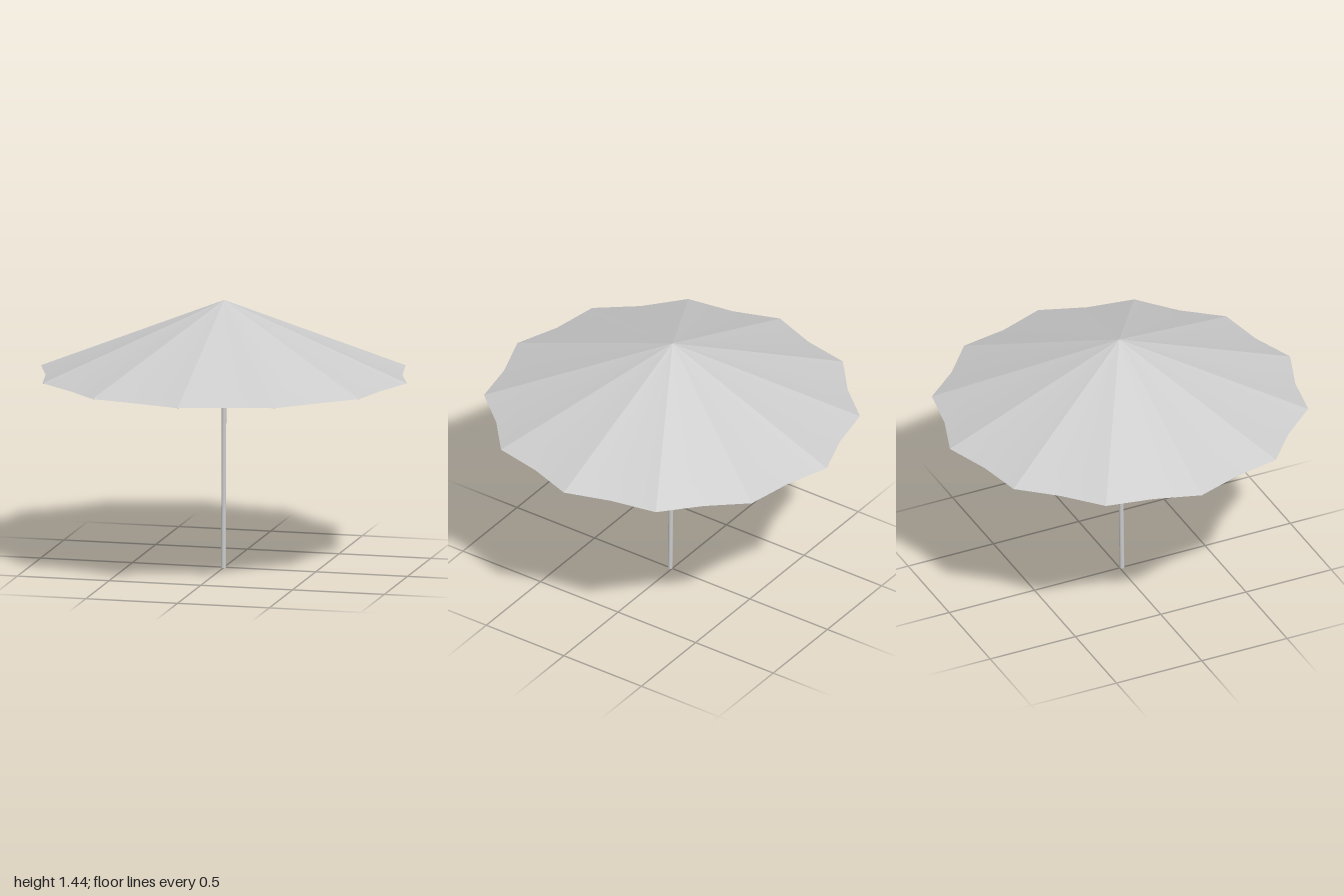
import * as THREE from 'three';

const RIBS = 12, APEX = 1.44, RIM = 1.04;
const STEP = (Math.PI * 2) / RIBS;

const material = new THREE.MeshStandardMaterial({ color: 0xcccccc });
const cloth = new THREE.MeshStandardMaterial({ color: 0xcccccc, side: THREE.DoubleSide });

// Point at angle a, radius r, height y
const polar = (a, r, y) => new THREE.Vector3(Math.sin(a) * r, y, Math.cos(a) * r);

function add(parent, name, geometry, mat = material) {
  const mesh = new THREE.Mesh(geometry, mat);
  mesh.name = name;
  parent.add(mesh);
  return mesh;
}

// Thin straight wire between two points
function rod(parent, name, a, b, radius) {
  const mesh = add(parent, name, new THREE.CylinderGeometry(radius, radius, a.distanceTo(b), 5));
  mesh.position.copy(a).lerp(b, 0.5);
  mesh.quaternion.setFromUnitVectors(new THREE.Vector3(0, 1, 0), b.clone().sub(a).normalize());
}

// One sagging cloth panel between two ribs: rib, valley, rib
function panelGeometry(start) {
  const rows = 6, pos = [], index = [];
  const rim = [
    polar(start, 0.997, RIM),
    polar(start + STEP / 2, 0.943, RIM - 0.003),
    polar(start + STEP, 0.997, RIM),
  ];
  const apex = new THREE.Vector3(0, APEX, 0);
  for (let i = 0; i <= rows; i++) {
    for (const p of rim) pos.push(...apex.clone().lerp(p, i / rows).toArray());
  }
  for (let i = 0; i < rows; i++) {
    for (let j = 0; j < 2; j++) {
      const a = i * 3 + j, b = a + 3;
      index.push(a, b, b + 1);
      if (i > 0) index.push(a, b + 1, a + 1);
    }
  }
  const g = new THREE.BufferGeometry();
  g.setAttribute('position', new THREE.Float32BufferAttribute(pos, 3));
  g.setIndex(index);
  g.computeVertexNormals();
  return g;
}

export function createModel() {
  const model = new THREE.Group();
  model.name = 'parasol';

  // The whole parasol leans back very slightly
  const parasol = new THREE.Group();
  parasol.name = 'leaningParasol';
  parasol.rotation.x = -0.011;
  parasol.position.z = 0.013;
  model.add(parasol);

  // Pole, sliding runner and top hub
  add(parasol, 'pole', new THREE.CylinderGeometry(0.013, 0.013, 1.425, 12)).position.y = 0.7125;
  add(parasol, 'runner', new THREE.CylinderGeometry(0.018, 0.018, 0.035, 12)).position.y = 1.08;
  add(parasol, 'topHub', new THREE.CylinderGeometry(0.013, 0.022, 0.02, 12)).position.y = 1.415;

  // Canopy panels with ribs and struts beneath
  const canopy = new THREE.Group();
  canopy.name = 'canopy';
  const frame = new THREE.Group();
  frame.name = 'frame';
  parasol.add(canopy, frame);
  for (let i = 0; i < RIBS; i++) {
    const a = i * STEP;
    add(canopy, 'canopyPanel', panelGeometry(a), cloth);
    rod(frame, 'rib', polar(a, 0.015, APEX - 0.012), polar(a, 0.99, RIM - 0.002), 0.003);
    rod(frame, 'strut', polar(a, 0.015, 1.085), polar(a, 0.4, 1.274), 0.003);
  }
  return model;
}
